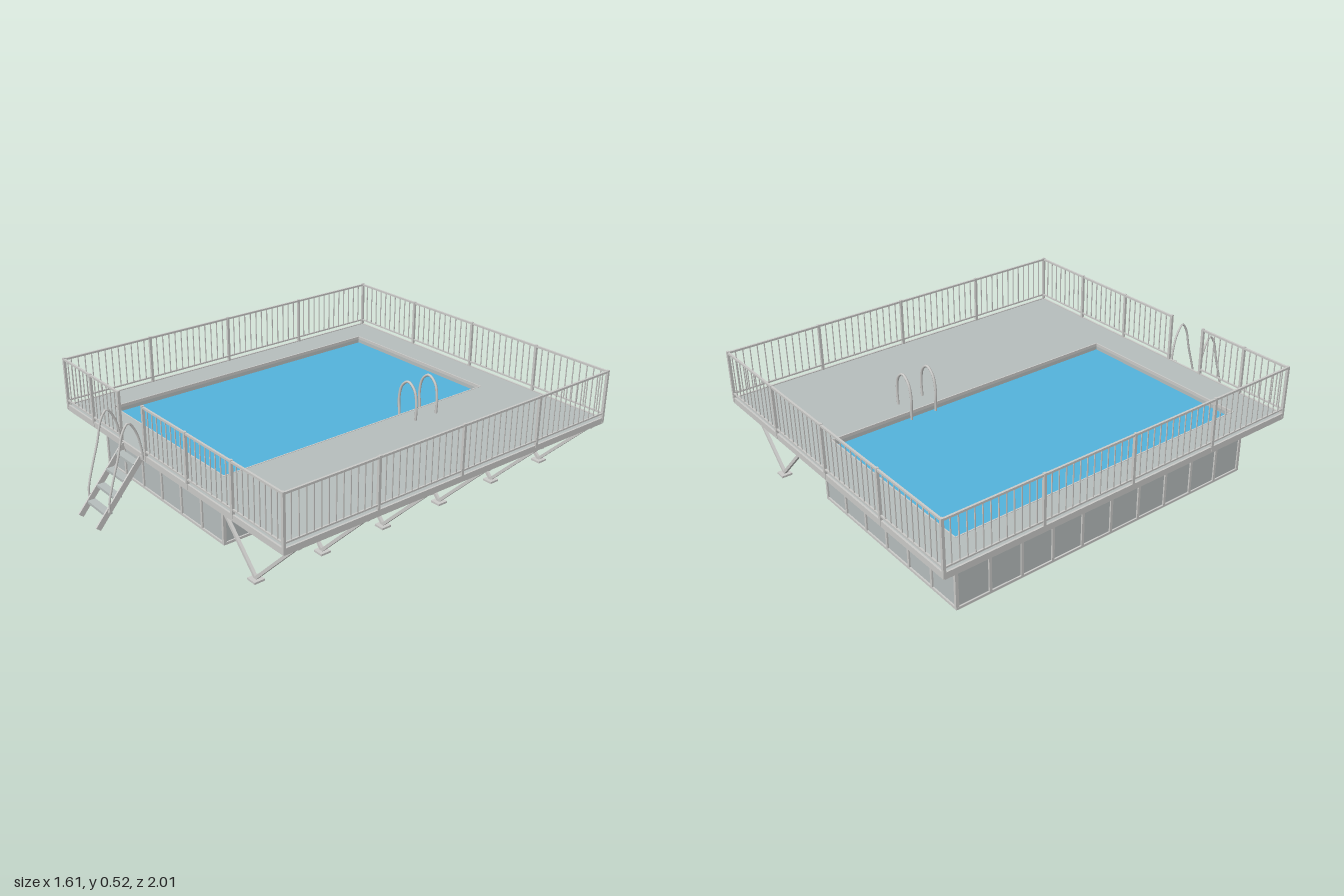
import * as THREE from 'three';

const mat = (name, color) => {
  const m = new THREE.MeshStandardMaterial({ color });
  m.name = name;
  return m;
};

export function createModel() {
  const root = new THREE.Group();
  root.name = 'raisedPool';
  const deckGrey = mat('deckGrey', 0xb7bebd);
  const steel = mat('steel', 0xcbcbc9);
  const panelGrey = mat('panelGrey', 0xb7bebe);
  const waterBlue = mat('waterBlue', 0x54b3dc);
  const linerBlue = mat('linerBlue', 0x2470b2);

  const group = (name) => {
    const g = new THREE.Group();
    g.name = name;
    root.add(g);
    return g;
  };
  // Box given by its lower and upper limits
  const box = (parent, name, m, x0, x1, y0, y1, z0, z1) => {
    const b = new THREE.Mesh(new THREE.BoxGeometry(x1 - x0, y1 - y0, z1 - z0), m);
    b.position.set((x0 + x1) / 2, (y0 + y1) / 2, (z0 + z1) / 2);
    b.name = name;
    parent.add(b);
  };
  // Straight bar between two points
  const bar = (parent, name, m, a, b, w, h = w) => {
    const p = new THREE.Vector3(...a), q = new THREE.Vector3(...b);
    const mesh = new THREE.Mesh(new THREE.BoxGeometry(w, h, p.distanceTo(q)), m);
    mesh.position.copy(p).lerp(q, 0.5);
    mesh.lookAt(q);
    mesh.name = name;
    parent.add(mesh);
  };
  const tube = (parent, name, pts, r) => {
    const curve = new THREE.CatmullRomCurve3(pts.map((p) => new THREE.Vector3(...p)));
    const t = new THREE.Mesh(new THREE.TubeGeometry(curve, 32, r, 8), steel);
    t.name = name;
    parent.add(t);
  };

  // Deck plate with the pool opening
  const X = 0.8, ZB = -1, ZF = 0.76, TOP = 0.29;
  const W = { x0: -0.655, x1: 0.215, z0: -0.85, z1: 0.61 };
  const rect = (P, x0, x1, z0, z1) => {
    const s = new P();
    s.moveTo(x0, z0); s.lineTo(x1, z0); s.lineTo(x1, z1); s.lineTo(x0, z1); s.closePath();
    return s;
  };
  const slab = rect(THREE.Shape, -X, X, ZB, ZF);
  slab.holes.push(rect(THREE.Path, W.x0, W.x1, W.z0, W.z1));
  const deckGeo = new THREE.ExtrudeGeometry(slab, { depth: 0.012, bevelEnabled: false });
  deckGeo.rotateX(Math.PI / 2);
  const deck = new THREE.Mesh(deckGeo, deckGrey);
  deck.position.y = TOP;
  deck.name = 'deck';
  root.add(deck);

  // Deck edge boards
  const edge = group('deckEdge');
  for (const s of [-1, 1]) {
    box(edge, 'sideEdge', steel, s * X - 0.004, s * X + 0.004, 0.266, 0.294, ZB, ZF);
  }
  for (const z of [ZB, ZF]) box(edge, 'endEdge', steel, -X, X, 0.266, 0.294, z - 0.004, z + 0.004);

  // Pool walls, floor, water
  const P = { x0: -0.685, x1: 0.24, z0: -0.875, z1: 0.635 };
  const pool = group('pool');
  for (const [x0, x1] of [[P.x0, W.x0], [W.x1, P.x1]]) {
    box(pool, 'sideWall', panelGrey, x0, x1, 0.004, 0.28, P.z0, P.z1);
  }
  for (const [z0, z1] of [[P.z0, W.z0], [W.z1, P.z1]]) {
    box(pool, 'endWall', panelGrey, W.x0, W.x1, 0.004, 0.28, z0, z1);
  }
  box(pool, 'poolFloor', linerBlue, P.x0 + 0.008, P.x1 - 0.008, 0.002, 0.01, P.z0 + 0.008, P.z1 - 0.008);
  box(pool, 'water', waterBlue, W.x0, W.x1, 0.25, 0.258, W.z0, W.z1);

  // Slim trim around the pool opening
  for (const x of [W.x0, W.x1]) box(pool, 'sideTrim', steel, x - 0.003, x + 0.003, 0.277, 0.2915, W.z0, W.z1);
  for (const z of [W.z0, W.z1]) box(pool, 'endTrim', steel, W.x0, W.x1, 0.277, 0.2915, z - 0.003, z + 0.003);

  // Wall ribs and the rails along the wall foot
  const ribs = group('wallRibs');
  for (let i = 0; i <= 6; i++) {
    const x = P.x0 + (P.x1 - P.x0) * i / 6;
    for (const z of [P.z0, P.z1]) {
      box(ribs, 'endRib', steel, x - 0.006, x + 0.006, 0, 0.278, z - 0.007, z + 0.007);
    }
  }
  for (let i = 1; i < 10; i++) {
    const z = P.z0 + (P.z1 - P.z0) * i / 10;
    for (const x of [P.x0, P.x1]) {
      box(ribs, 'sideRib', steel, x - 0.007, x + 0.007, 0.002, 0.278, z - 0.006, z + 0.006);
    }
  }
  for (const [x, s] of [[P.x0, 1], [P.x1, -1]]) {
    box(ribs, 'sideFootRail', steel, x + s * 0.004 - 0.011, x + s * 0.004 + 0.011, 0, 0.011, P.z0, P.z1);
  }
  for (const [z, s] of [[P.z0, 1], [P.z1, -1]]) {
    box(ribs, 'endFootRail', steel, P.x0, P.x1, 0, 0.011, z + s * 0.004 - 0.011, z + s * 0.004 + 0.011);
  }

  // V supports and beams below the wide deck
  const frame = group('deckSupport');
  const frames = [0, 1, 2, 3, 4, 5].map((i) => 0.69 - 0.324 * i);
  frames.forEach((z, i) => {
    box(frame, 'crossBeam', steel, P.x1, X, 0.261, 0.278, z - 0.008, z + 0.008);
    bar(frame, 'innerLeg', steel, [0.28, 0.263, z], [0.53, 0.01, z], 0.013);
    bar(frame, 'outerLeg', steel, [0.785, 0.263, z], [0.53, 0.01, z], 0.013);
    box(frame, 'foot', steel, 0.506, 0.554, 0, 0.009, z - 0.024, z + 0.024);
    bar(frame, 'leftBrace', steel, [P.x0, 0.22, z], [-0.75, 0.268, z], 0.009);
    if (i < 5) {
      const n = frames[i + 1];
      box(frame, 'joist', steel, P.x1, X, 0.268, 0.278, (z + n) / 2 - 0.006, (z + n) / 2 + 0.006);
      bar(frame, 'diagonal', steel, [0.26, 0.27, z], [0.78, 0.27, n], 0.01);
      bar(frame, 'diagonal', steel, [0.78, 0.27, z], [0.26, 0.27, n], 0.01);
    }
  });
  for (const x of [0.27, 0.53, 0.78]) box(frame, 'longBeam', steel, x - 0.007, x + 0.007, 0.264, 0.278, ZB, ZF);
  for (const x of [-0.645, -0.36, -0.08, 0.2]) {
    bar(frame, 'frontBrace', steel, [x, 0.22, P.z1], [x, 0.268, 0.695], 0.01);
    bar(frame, 'backBrace', steel, [x, 0.22, P.z0], [x, 0.268, -0.935], 0.01);
  }

  // Railing run through a row of [x, z] posts
  const railing = (name, posts) => {
    const g = group(name);
    posts.forEach(([x, z], i) => {
      box(g, 'post', steel, x - 0.006, x + 0.006, 0.27, 0.517, z - 0.006, z + 0.006);
      if (!i) return;
      const [px, pz] = posts[i - 1];
      bar(g, 'topRail', steel, [px, 0.51, pz], [x, 0.51, z], 0.009);
      bar(g, 'bottomRail', steel, [px, 0.314, pz], [x, 0.314, z], 0.007);
      const n = Math.round(Math.hypot(x - px, z - pz) / 0.035);
      for (let k = 1; k < n; k++) {
        const bx = px + (x - px) * k / n, bz = pz + (z - pz) * k / n;
        box(g, 'baluster', steel, bx - 0.002, bx + 0.002, 0.314, 0.508, bz - 0.002, bz + 0.002);
      }
    });
  };
  const E = 0.799;
  const sideZ = [ZB, -0.56, -0.12, 0.32, ZF];
  railing('leftRailing', sideZ.map((z) => [E, z]));
  railing('rightRailing', sideZ.map((z) => [-E, z]));
  railing('backRailing', [-E, -0.4, 0, 0.4, E].map((x) => [x, ZB]));
  railing('frontRailingRight', [-E, -0.56, -0.32].map((x) => [x, ZF]));
  railing('frontRailingLeft', [-0.125, 0.185, 0.49, E].map((x) => [x, ZF]));

  // Entrance stairs with curved handrails
  const stairs = group('stairs');
  for (const s of [-1, 1]) {
    const x = -0.222 + s * 0.074, h = -0.222 + s * 0.087;
    bar(stairs, 'stringer', steel, [x, 0.28, 0.77], [x, 0.022, 0.99], 0.008, 0.026);
    tube(stairs, 'handrail', [[h, 0.275, 0.768], [h, 0.34, 0.774], [h, 0.415, 0.795], [h, 0.455, 0.825],
      [h, 0.42, 0.853], [h, 0.32, 0.88], [h, 0.21, 0.915], [h, 0.13, 0.936], [h, 0.09, 0.937]], 0.005);
    box(stairs, 'handrailBracket', steel, Math.min(x, h), Math.max(x, h), 0.085, 0.095, 0.93, 0.942);
    box(stairs, 'topBracket', steel, Math.min(x, h), Math.max(x, h), 0.275, 0.29, 0.762, 0.774);
  }
  for (let i = 0; i < 4; i++) {
    const y = 0.255 - 0.06 * i, z = 0.79 + 0.049 * i;
    box(stairs, 'tread', deckGrey, -0.294, -0.15, y - 0.006, y + 0.006, z - 0.018, z + 0.018);
  }

  // Grab rails at the pool edge
  const grab = group('grabRails');
  for (const z of [-0.47, -0.345]) {
    tube(grab, 'grabRail', [[0.302, 0.285, z], [0.304, 0.36, z], [0.29, 0.425, z], [0.25, 0.455, z],
      [0.21, 0.425, z], [0.194, 0.36, z], [0.198, 0.3, z], [0.2, 0.25, z]], 0.006);
  }
  return root;
}
